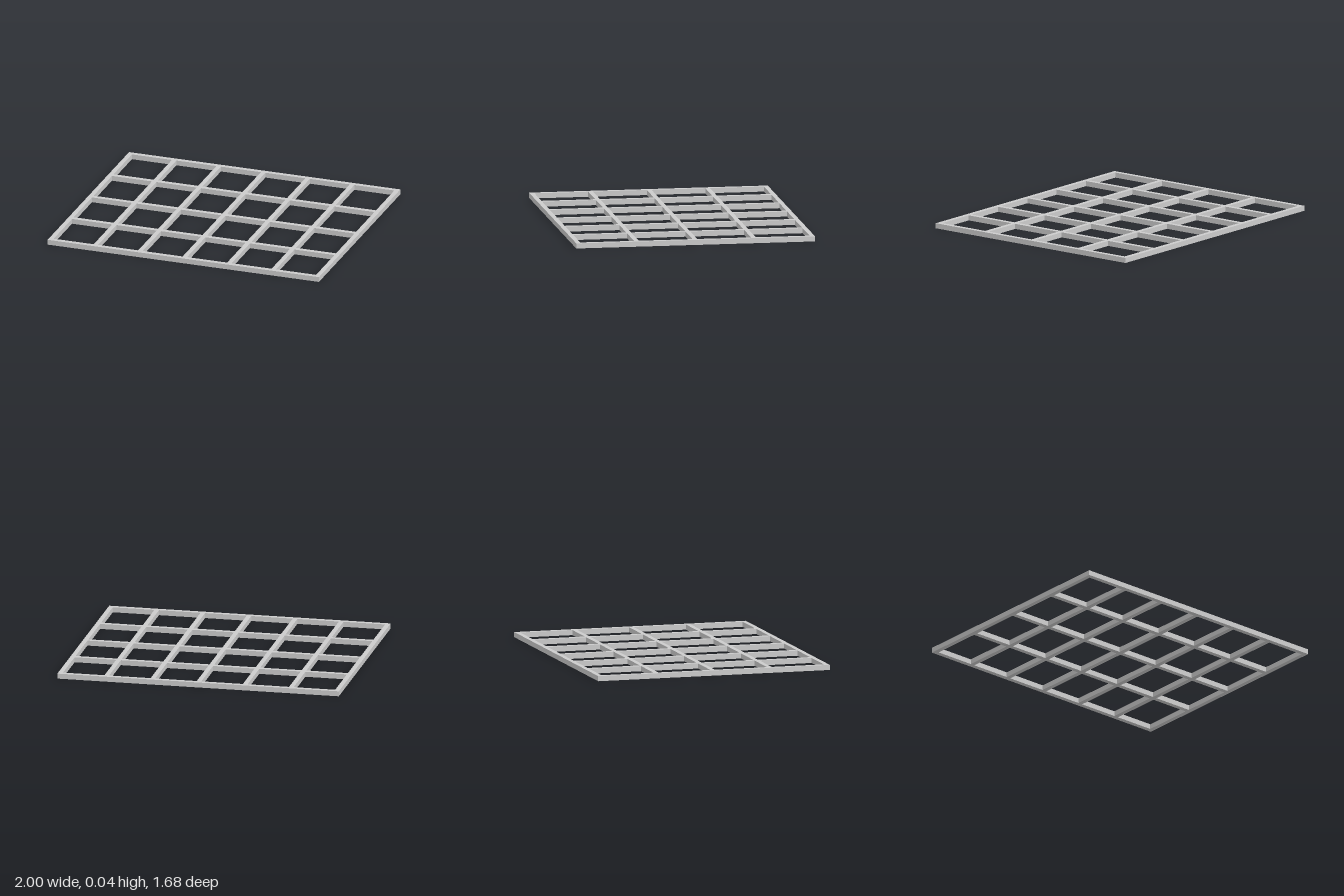
import * as THREE from 'three';

const WIDTH = 2, DEPTH = 1.68, BAR = 0.033, HEIGHT = 0.036;
const COLUMNS = 6, ROWS = 4;

export function createModel() {
  const model = new THREE.Group();
  model.name = 'gridFrame';
  const material = new THREE.MeshStandardMaterial({ color: 0xcccccc });

  const addBar = (name, width, depth, x, z) => {
    const bar = new THREE.Mesh(new THREE.BoxGeometry(width, HEIGHT, depth), material);
    bar.name = name;
    bar.position.set(x, HEIGHT / 2, z);
    model.add(bar);
  };

  const stepX = (WIDTH - BAR) / COLUMNS;
  const stepZ = (DEPTH - BAR) / ROWS;

  // Full-width rails, front and back ones closing the frame
  for (let r = 0; r <= ROWS; r++) {
    const outer = r === 0 || r === ROWS;
    addBar(outer ? 'frameRail' : 'crossRail', WIDTH, BAR, 0, (r - ROWS / 2) * stepZ);
  }

  // Short bars fitted between neighbouring rails
  for (let c = 0; c <= COLUMNS; c++) {
    const outer = c === 0 || c === COLUMNS;
    for (let r = 0; r < ROWS; r++) {
      addBar(outer ? 'frameSide' : 'divider', BAR, stepZ - BAR,
        (c - COLUMNS / 2) * stepX, (r + 0.5 - ROWS / 2) * stepZ);
    }
  }
  return model;
}
